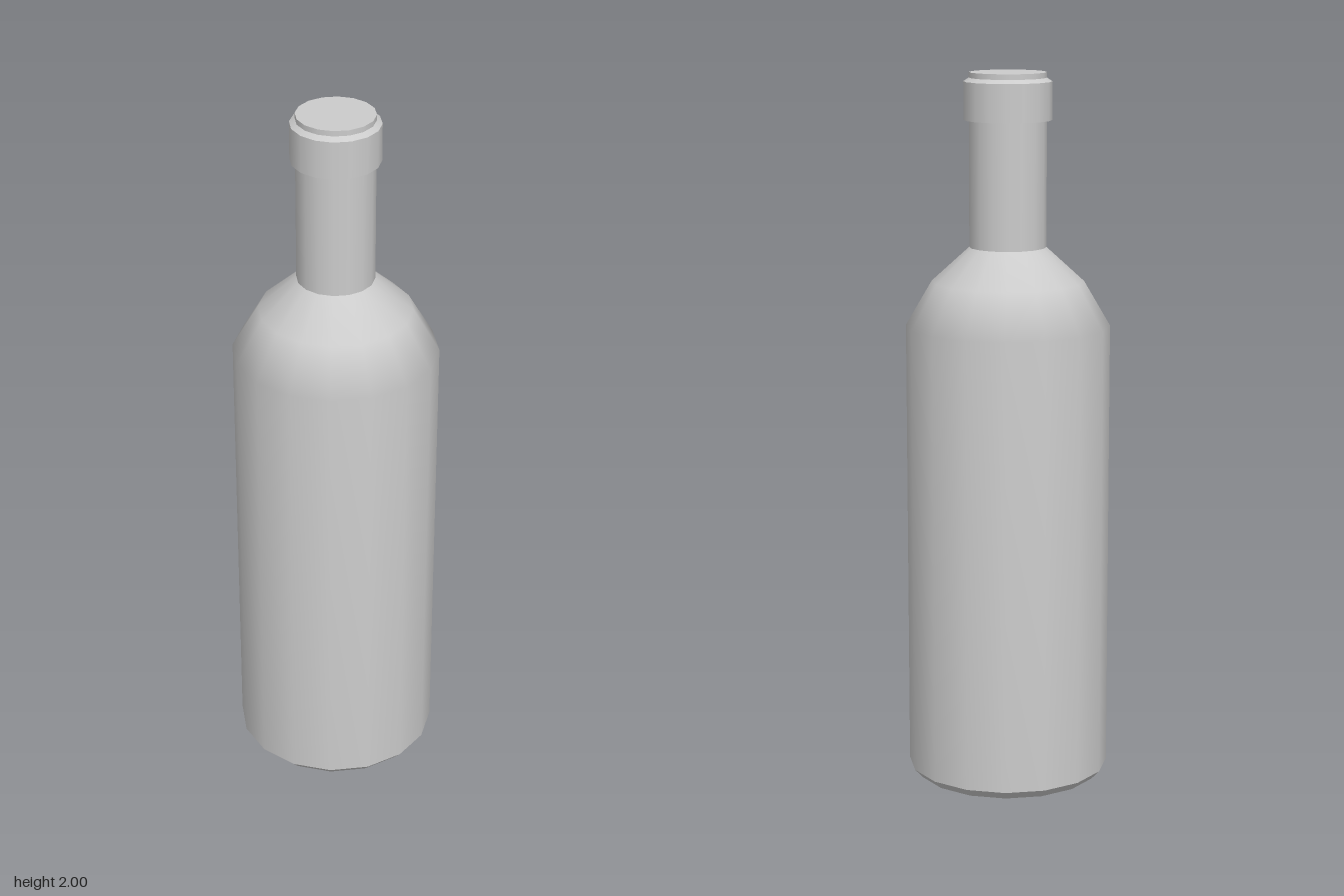
import * as THREE from 'three';

const SIDES = 16;

export function createModel() {
  const bottle = new THREE.Group();
  bottle.name = 'bottle';
  const material = new THREE.MeshStandardMaterial({ color: 0xcccccc });

  // Each profile runs bottom to top as [radius, height]; separate profiles keep the edge between them sharp
  function turned(name, ...profiles) {
    const part = new THREE.Group();
    part.name = name;
    profiles.forEach((profile, i) => {
      const points = profile.map(([r, y]) => new THREE.Vector2(r, y));
      const mesh = new THREE.Mesh(new THREE.LatheGeometry(points, SIDES), material);
      mesh.name = `${name}Surface${i + 1}`;
      part.add(mesh);
    });
    bottle.add(part);
  }

  // Flat underside with a bevelled edge
  turned('base', [[0, 0], [0.262, 0]], [[0.262, 0], [0.285, 0.025]]);

  // Straight wall running smoothly into the rounded shoulder
  turned('body', [[0.285, 0.025], [0.285, 1.3], [0.212, 1.425], [0.107, 1.52]]);

  // Neck with a closed top
  turned('neck', [[0.107, 1.52], [0.107, 2]], [[0.107, 2], [0, 2]]);

  // Raised collar around the mouth
  turned('collar',
    [[0.107, 1.87], [0.122, 1.87]],
    [[0.122, 1.87], [0.122, 1.975]],
    [[0.122, 1.975], [0.107, 1.985]]);

  return bottle;
}
